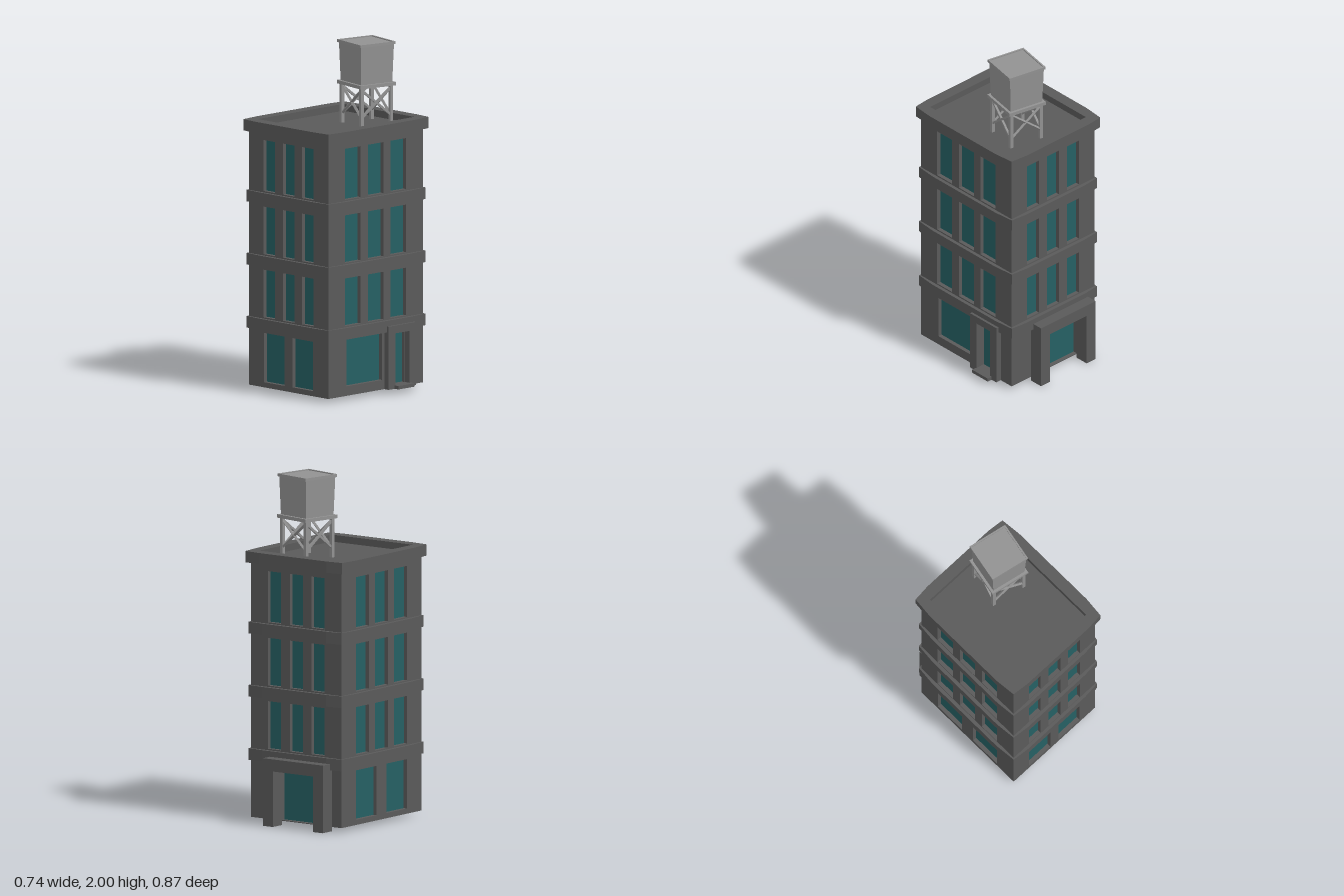
import * as THREE from 'three';

const mat = (color) => new THREE.MeshStandardMaterial({ color, flatShading: true, side: THREE.DoubleSide });
const CX = -0.0175, CZ = 0.0275;     // centre of the building
const HX = 0.3225, HZ = 0.3775;      // half size of the walls
const BASE = 0.025, TOP = 1.5, RECESS = 0.025;
const FLOORS = [[0.43, 0.705], [0.795, 1.07], [1.16, 1.455]];

export function createModel() {
  const stone = mat(0x5a5a5a), glass = mat(0x256063), metal = mat(0x929292);
  const model = new THREE.Group();

  const add = (parent, name, geometry, material, x = 0, y = 0, z = 0) => {
    const mesh = new THREE.Mesh(geometry, material);
    mesh.name = name;
    mesh.position.set(x, y, z);
    parent.add(mesh);
    return mesh;
  };
  const box = (parent, name, material, w, h, d, x, y, z) =>
    add(parent, name, new THREE.BoxGeometry(w, h, d), material, x, y, z);
  const points = (list) => list.map(([x, y]) => new THREE.Vector2(x, y));
  const rect = (x0, y0, x1, y1) => points([[x0, y0], [x1, y0], [x1, y1], [x0, y1]]);
  const extrude = (shape, depth) => new THREE.ExtrudeGeometry(shape, { depth, bevelEnabled: false });

  // Wall with recessed windows; an opening is [centre, width, bottom, top]
  function wall(name, half, distance, angle, upper, ground) {
    const side = new THREE.Group();
    side.name = name;
    side.rotation.y = angle;
    side.position.set(CX + Math.sin(angle) * distance, 0, CZ + Math.cos(angle) * distance);
    model.add(side);
    const openings = [...ground];
    for (const [bottom, top] of FLOORS)
      for (const k of [-1, 0, 1]) openings.push([k * upper.spacing, upper.width, bottom, top]);
    const shape = new THREE.Shape(rect(-half, BASE, half, TOP));
    for (const [c, w, b, t] of openings) {
      shape.holes.push(new THREE.Path(rect(c - w / 2, b, c + w / 2, t)));
      add(side, 'windowPane', new THREE.PlaneGeometry(w, t - b), glass, c, (b + t) / 2, -RECESS + 0.001);
    }
    add(side, 'wallPanel', extrude(shape, RECESS), stone, 0, 0, -RECESS);
    return side;
  }

  // Projecting surround of a doorway
  function portal(side, name, centre, width, opening, bottom, head, top, depth) {
    const a = width / 2, b = opening / 2;
    const shape = new THREE.Shape(points([[-a, bottom], [-b, bottom], [-b, head], [b, head],
      [b, bottom], [a, bottom], [a, top], [-a, top]]));
    add(side, name, extrude(shape, depth), stone, centre, 0, 0);
  }

  const narrow = { spacing: 0.155, width: 0.093 };
  const wide = { spacing: 0.181, width: 0.124 };
  wall('frontWall', HX, HZ, 0, narrow, [-1, 1].map((k) => [k * 0.116, 0.167, 0.055, 0.34]));
  wall('leftWindowWall', HZ, HX, -Math.PI / 2, wide, [-1, 1].map((k) => [k * 0.143, 0.195, 0.055, 0.34]));
  const doorSide = wall('doorWall', HZ, HX, Math.PI / 2, wide,
    [[-0.09, 0.285, 0.08, 0.35], [0.1765, 0.112, 0.045, 0.345]]);
  const backSide = wall('backWall', HX, HZ, Math.PI, narrow, [[0.04, 0.285, 0.03, 0.32]]);

  // Door surround with step, and the loading bay
  portal(doorSide, 'doorFrame', 0.1785, 0.218, 0.112, BASE, 0.345, 0.39, 0.035);
  box(doorSide, 'doorStep', stone, 0.13, 0.02, 0.065, 0.1825, 0.035, 0.0325);
  portal(backSide, 'loadingBayFrame', 0.04, 0.425, 0.285, 0, 0.32, 0.39, 0.085);

  // Horizontal ring whose outline bows out slightly between the corners
  function ring(name, hx, hz, holeX, holeZ, y, height) {
    const q = points([[hx, hz - 0.135], [hx - 0.012, hz - 0.01], [hx - 0.115, hz]]);
    const flip = (list, sx, sy) => list.map((p) => new THREE.Vector2(p.x * sx, p.y * sy));
    const shape = new THREE.Shape([...q, ...flip([...q].reverse(), -1, 1),
      ...flip(q, -1, -1), ...flip([...q].reverse(), 1, -1)]);
    shape.holes.push(new THREE.Path(rect(-holeX, -holeZ, holeX, holeZ)));
    add(model, name, extrude(shape, height).rotateX(-Math.PI / 2), stone, CX, y, CZ - 0.0015);
  }
  for (const y of [0.355, 0.72, 1.085])
    ring('floorBand', HX + 0.02, HZ + 0.02, HX - 0.015, HZ - 0.015, y, 0.067);
  ring('cornice', 0.356, 0.41, 0.2875, 0.342, 1.495, 0.065);

  // Roof deck and ground floor ceiling
  box(model, 'roofDeck', stone, 0.6, 0.02, 0.71, CX, 1.51, CZ);
  box(model, 'ceiling', stone, 0.6, 0.01, 0.71, CX, 0.4, CZ);

  // Water tower
  const tower = new THREE.Group();
  tower.name = 'waterTower';
  tower.position.set(0.066, 0, -0.135);
  tower.rotation.y = -0.195;
  model.add(tower);

  function beam(name, from, to, thickness) {
    const a = new THREE.Vector3(...from), b = new THREE.Vector3(...to);
    const mesh = add(tower, name, new THREE.BoxGeometry(thickness, thickness, a.distanceTo(b)), metal);
    mesh.position.copy(a).add(b).multiplyScalar(0.5);
    mesh.quaternion.setFromUnitVectors(new THREE.Vector3(0, 0, 1), b.sub(a).normalize());
  }
  const L = 0.1;
  for (const s of [-1, 1]) {
    for (const k of [-1, 1]) {
      box(tower, 'towerLeg', metal, 0.02, 0.226, 0.02, s * L, 1.633, k * L);
      beam('crossBrace', [-L * k, 1.575, s * L], [L * k, 1.735, s * L], 0.013);
      beam('crossBrace', [s * L, 1.575, -L * k], [s * L, 1.735, L * k], 0.013);
    }
  }
  box(tower, 'platform', metal, 0.242, 0.02, 0.242, 0, 1.755, 0);
  // Square tank, slightly wider at the top
  const tank = new THREE.CylinderGeometry(0.113 * Math.SQRT2, 0.106 * Math.SQRT2, 0.222, 4).rotateY(Math.PI / 4);
  add(tower, 'tank', tank, metal, 0, 1.875, 0);
  // Lid with a thin raised rim
  const rim = new THREE.Shape(rect(-0.12, -0.12, 0.12, 0.12));
  rim.holes.push(new THREE.Path(rect(-0.11, -0.11, 0.11, 0.11)));
  add(tower, 'lidRim', extrude(rim, 0.016).rotateX(-Math.PI / 2), metal, 0, 1.984, 0);
  box(tower, 'lid', metal, 0.222, 0.01, 0.222, 0, 1.989, 0);

  return model;
}
